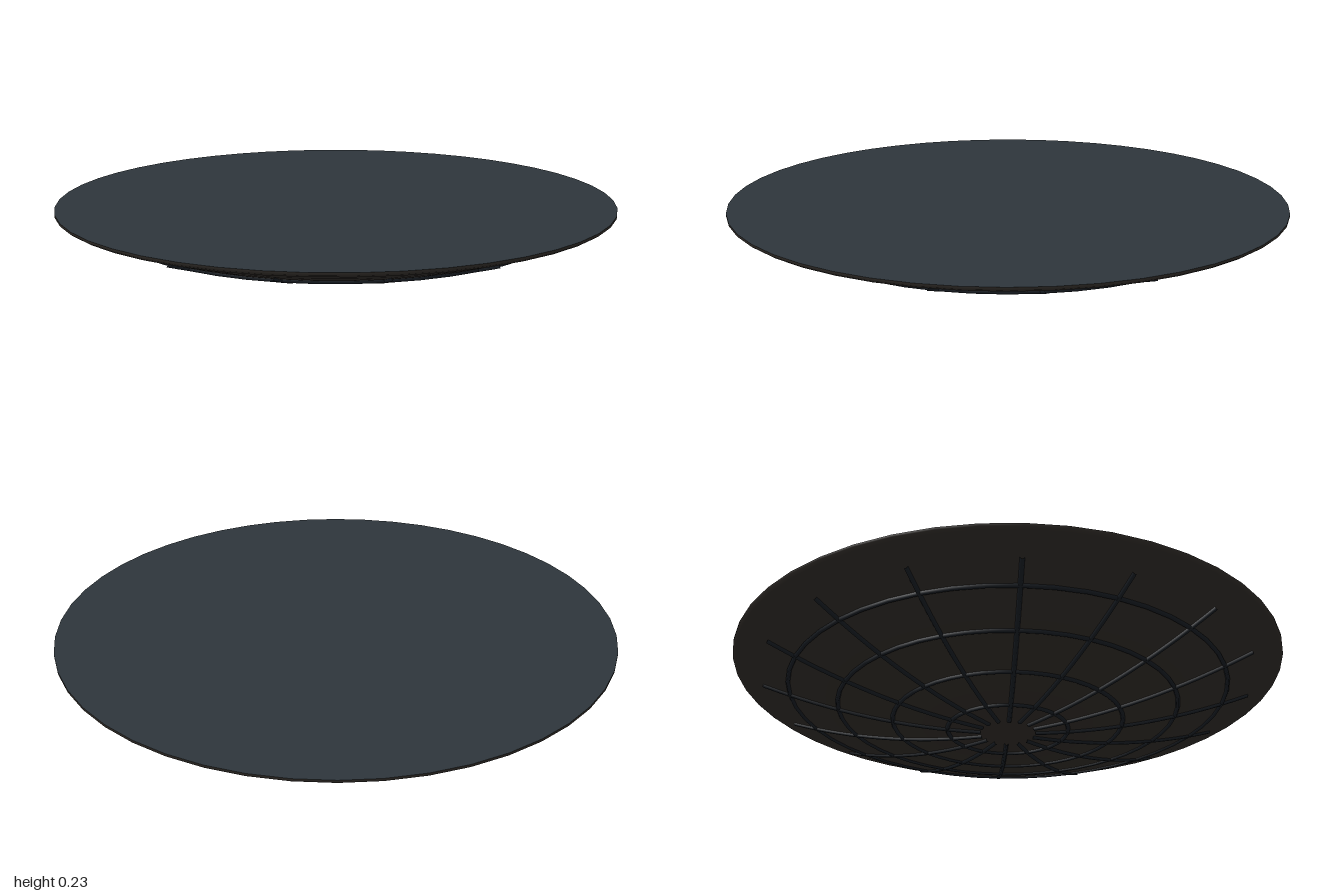
import * as THREE from 'three';

const bowlY = (r) => 0.012 + 0.213 * r * r; // underside height at radius r

export function createModel() {
  const group = new THREE.Group();
  const slate = new THREE.MeshStandardMaterial({ name: 'slate top', color: 0x2d353b });
  const brown = new THREE.MeshStandardMaterial({ name: 'dark brown shell', color: 0x2e2a26 });
  const black = new THREE.MeshStandardMaterial({ name: 'blue black ribs', color: 0x171c22 });
  const add = (name, geometry, material) => {
    const mesh = new THREE.Mesh(geometry, material);
    mesh.name = name;
    group.add(mesh);
    return mesh;
  };

  // Shallow bowl with a rounded lip
  const profile = [];
  for (let i = 0; i <= 16; i++) {
    const r = 0.97 * i / 16;
    profile.push(new THREE.Vector2(r, bowlY(r)));
  }
  profile.push(new THREE.Vector2(0.99, 0.217), new THREE.Vector2(1, 0.224), new THREE.Vector2(1, 0.233));
  add('shell', new THREE.LatheGeometry(profile, 48), brown);

  // Flat top
  const top = add('topSurface', new THREE.CircleGeometry(1, 48), slate);
  top.rotation.x = -Math.PI / 2;
  top.position.y = 0.233;

  // Concentric ribs under the shell
  for (const r of [0.22, 0.42, 0.62, 0.8]) {
    const ring = add('ringRib', new THREE.TorusGeometry(r, 0.008, 6, 48), black);
    ring.rotation.x = Math.PI / 2;
    ring.position.y = bowlY(r) - 0.001;
  }

  // Radial ribs following the bowl
  const points = [];
  for (let i = 0; i <= 8; i++) {
    const r = 0.1 + 0.1 * i;
    points.push(new THREE.Vector3(0, bowlY(r) - 0.002, r));
  }
  const ribGeometry = new THREE.TubeGeometry(new THREE.CatmullRomCurve3(points), 16, 0.008, 6);
  for (let i = 0; i < 16; i++) {
    add('radialRib', ribGeometry, black).rotation.y = i * Math.PI / 8;
  }
  return group;
}
